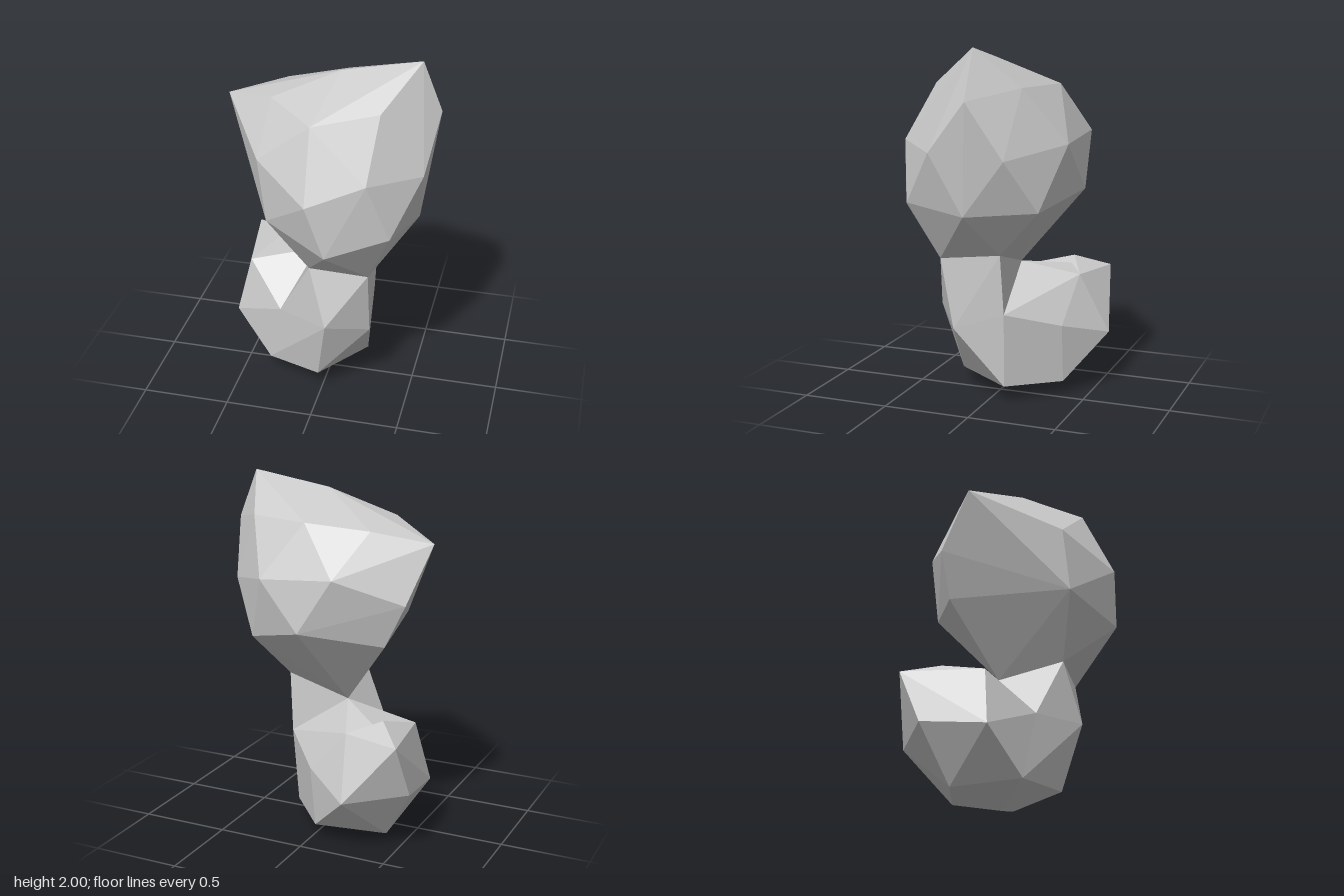
import * as THREE from 'three';
import { ConvexGeometry } from 'three/addons/geometries/ConvexGeometry.js';

const material = new THREE.MeshStandardMaterial({ color: 0xcccccc, flatShading: true });

// A faceted solid stretched over its corner points
function facetedPart(name, corners) {
  const mesh = new THREE.Mesh(
    new ConvexGeometry(corners.map((c) => new THREE.Vector3(...c))), material);
  mesh.name = name;
  return mesh;
}

// Corners shared by neighbouring parts, so the seams meet
const neckRing = [[0.27, 0.82, 0.255], [-0.06, 0.84, 0.27], [-0.1, 0.755, -0.09], [0.26, 0.86, -0.095]];
const nape = neckRing[2];
const hip = [0.24, 0.52, -0.11];
const belly = [[-0.26, 0.47, 0.17], [-0.34, 0.09, 0.12], [-0.11, 0, -0.06], [0.21, 0.095, -0.1], [-0.02, 0.105, 0.24]];
const haunchRim = [[-0.49, 0.655, -0.04], [-0.56, 0.665, -0.49], [-0.23, 0.67, -0.4]];

export function createModel() {
  const group = new THREE.Group();
  group.name = 'figure';

  // Head: two peaked upper corners, tapering down to the neck
  group.add(facetedPart('head', [
    // peaks and crown
    [0.49, 2, -0.035], [0.6, 1.73, -0.03], [-0.605, 1.685, -0.11], [0.06, 1.925, 0],
    [0.32, 1.8, 0.245], [-0.3, 1.78, 0.11], [-0.02, 1.76, 0.39],
    [0.38, 1.79, -0.265], [0.03, 1.79, -0.36], [-0.3, 1.75, -0.25],
    // widest band
    [-0.01, 1.38, 0.565], [0.29, 1.48, 0.45], [-0.32, 1.52, 0.345], [0.55, 1.45, 0.2],
    [0.525, 1.42, -0.215], [0.24, 1.49, -0.475], [-0.18, 1.52, -0.475], [-0.52, 1.38, -0.29],
    // lower band
    [0.09, 1.08, 0.545], [0.41, 1.15, 0.39], [-0.27, 1.17, 0.37], [0.51, 1.11, 0.02],
    [0.36, 1.13, -0.35], [0.01, 1.22, -0.5], [-0.4, 1.14, -0.28],
    ...neckRing,
  ]));

  // Neck and chest
  group.add(facetedPart('chest', [
    ...neckRing, hip, ...belly, [0.045, 0.5, 0.345], [0.27, 0.42, 0.18],
  ]));

  // Haunch swinging out to the back and side
  group.add(facetedPart('haunch', [
    nape, hip, ...belly, ...haunchRim,
    [0, 0.42, -0.37], [-0.03, 0.085, -0.37], [-0.41, 0.055, -0.25],
    [-0.28, 0.33, -0.565], [-0.59, 0.36, -0.36], [-0.57, 0.32, 0],
  ]));

  // Small raised tip on the haunch
  group.add(facetedPart('haunchTip', [...haunchRim, [-0.41, 0.74, -0.31], [-0.42, 0.5, -0.27]]));

  return group;
}
